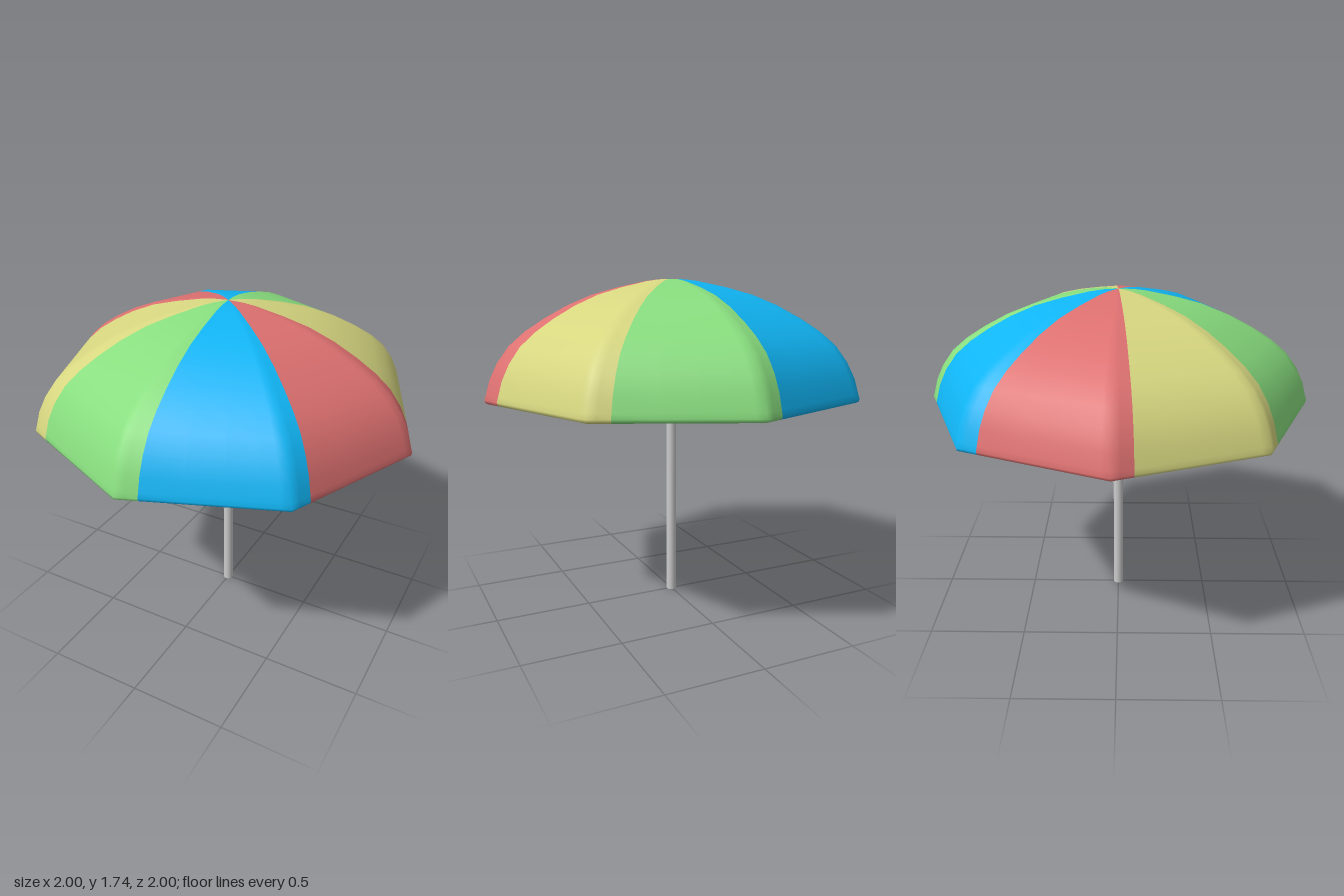
import * as THREE from 'three';

const DEG = Math.PI / 180;
const PANELS = 8;
const STEP = 360 / PANELS;
const RIB = 1.2; // angle of the first canopy corner
const SEAM = -5.9; // colour seams sit just beside the corners

// Closed cross-section [radius, height]: outside from the crown to the hem, then back up inside
const PROFILE = [
  [0, 1.74], [0.08, 1.737], [0.15, 1.728], [0.3, 1.697], [0.44, 1.66], [0.57, 1.608], [0.69, 1.545],
  [0.79, 1.482], [0.87, 1.415], [0.93, 1.335], [0.97, 1.255], [0.992, 1.18], [1, 1.155], [0.996, 1.142], [0.985, 1.136],
  [0.974, 1.142], [0.968, 1.18], [0.946, 1.25], [0.907, 1.325], [0.85, 1.397], [0.772, 1.464],
  [0.675, 1.525], [0.56, 1.586], [0.43, 1.638], [0.29, 1.675], [0.14, 1.706], [0, 1.718],
];

// Angles within one panel, measured from its corner
const COLUMNS = [SEAM, -2.5, 0, 2.5, 7, 16, 27, STEP + SEAM];

// Radius of a straight-sided octagon, 1 at the corners
function octagonRadius(angle) {
  const a = ((angle % STEP) + STEP) % STEP;
  return Math.cos((STEP / 2) * DEG) / Math.cos((a - STEP / 2) * DEG);
}

function panelGeometry() {
  const positions = [];
  const index = [];
  const n = COLUMNS.length;
  PROFILE.forEach(([r, y], i) => {
    COLUMNS.forEach((angle, j) => {
      const radius = r * octagonRadius(angle);
      positions.push(radius * Math.cos(angle * DEG), y, radius * Math.sin(angle * DEG));
      if (i === PROFILE.length - 1 || j === n - 1) return;
      const a = i * n + j;
      const b = a + n;
      if (r > 0) index.push(a, a + 1, b);
      if (PROFILE[i + 1][0] > 0) index.push(a + 1, b + 1, b);
    });
  });
  const geometry = new THREE.BufferGeometry();
  geometry.setAttribute('position', new THREE.Float32BufferAttribute(positions, 3));
  geometry.setIndex(index);
  geometry.computeVertexNormals();
  return geometry;
}

export function createModel() {
  const model = new THREE.Group();
  model.name = 'parasol';

  // Canopy: eight cloth panels in four repeating colours
  const canopy = new THREE.Group();
  canopy.name = 'canopy';
  const cloth = [0xdd7070, 0x10b5f5, 0x88dd7e, 0xd6d680].map(
    (color) => new THREE.MeshStandardMaterial({ color })
  );
  const geometry = panelGeometry();
  for (let k = 0; k < PANELS; k++) {
    const panel = new THREE.Mesh(geometry, cloth[k % cloth.length]);
    panel.name = `canopyPanel${k + 1}`;
    panel.rotation.y = -(RIB + k * STEP) * DEG;
    canopy.add(panel);
  }
  model.add(canopy);

  // Pole, running up into the crown
  const height = 1.722;
  const pole = new THREE.Mesh(
    new THREE.CylinderGeometry(0.027, 0.027, height, 16),
    new THREE.MeshStandardMaterial({ color: 0xcccccc })
  );
  pole.name = 'pole';
  pole.position.y = height / 2;
  model.add(pole);

  return model;
}
